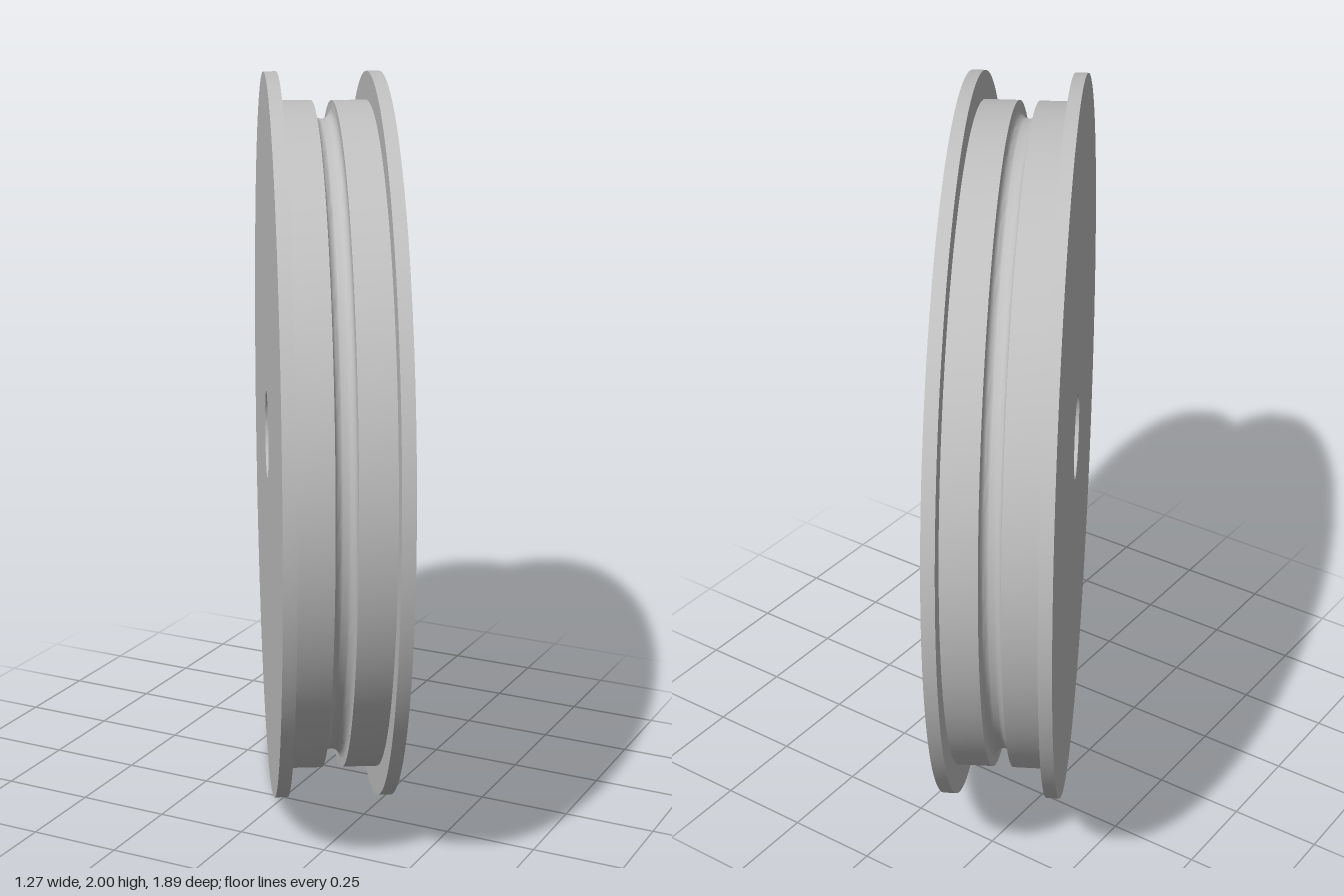
import * as THREE from 'three';
import { toCreasedNormals } from 'three/addons/utils/BufferGeometryUtils.js';

const OUTER = 1, DRUM = 0.922, BORE = 0.122;    // radii
const HALF = 0.158, INNER = 0.123;              // half width overall, and between the flanges
const GROOVE = 0.028, GROOVE_CENTRE = 0.9;      // groove radius and the radius its arc is centred on

export function createModel() {
  const metal = new THREE.MeshStandardMaterial({ color: 0xc0c0c0 });
  metal.name = 'grey metal';

  const spin = (name, points) => {
    const lathe = new THREE.LatheGeometry(points.map(([r, y]) => new THREE.Vector2(r, y)), 128);
    const mesh = new THREE.Mesh(toCreasedNormals(lathe, Math.PI / 6), metal);
    mesh.name = name;
    return mesh;
  };

  const wheel = new THREE.Group();
  wheel.name = 'pulleyWheel';

  // Thin flange discs on both ends
  wheel.add(spin('rightFlange', [[BORE, -HALF], [OUTER, -HALF], [OUTER, -INNER], [DRUM, -INNER]]));
  wheel.add(spin('leftFlange', [[DRUM, INNER], [OUTER, INNER], [OUTER, HALF], [BORE, HALF]]));

  // Drum with a round-bottomed groove around its middle
  const drum = [[DRUM, -INNER], [DRUM, -GROOVE]];
  for (let i = 0; i <= 12; i++) {
    const a = (i / 12) * Math.PI;
    drum.push([GROOVE_CENTRE - GROOVE * Math.sin(a), -GROOVE * Math.cos(a)]);
  }
  drum.push([DRUM, GROOVE], [DRUM, INNER]);
  wheel.add(spin('groovedDrum', drum));

  // Through hole for the axle
  wheel.add(spin('axleBore', [[BORE, HALF], [BORE, -HALF]]));

  // Stand the wheel upright, turned 30 degrees
  wheel.rotation.set(0, Math.PI / 6, -Math.PI / 2);
  wheel.position.y = OUTER;

  const model = new THREE.Group();
  model.name = 'pulley';
  model.add(wheel);
  return model;
}
